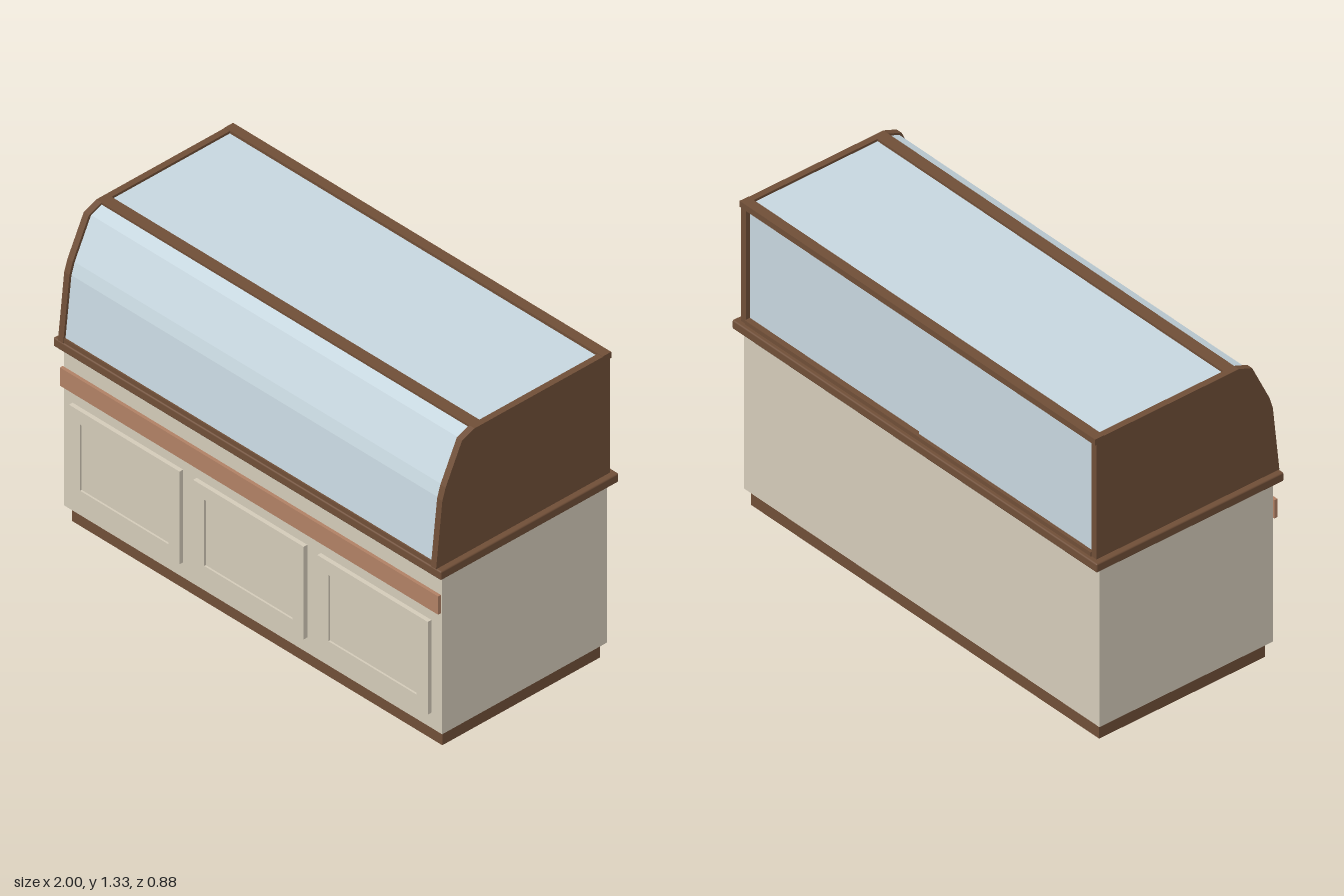
import * as THREE from 'three';
import { RoundedBoxGeometry } from 'three/addons/geometries/RoundedBoxGeometry.js';

const mat = (color, extra = {}) => new THREE.MeshStandardMaterial({ color, ...extra });

export function createModel() {
  const group = new THREE.Group();
  const wood = mat(0x6f4e37);
  const cream = mat(0xd3cab8);
  const copper = mat(0xb08064);
  const glass = mat(0xc6d6de, { side: THREE.DoubleSide });

  const add = (name, geometry, material) => {
    const mesh = new THREE.Mesh(geometry, material);
    mesh.name = name;
    group.add(mesh);
    return mesh;
  };
  // Box given by its limits on each axis
  const box = (name, material, [x0, x1], [y0, y1], [z0, z1]) =>
    add(name, new THREE.BoxGeometry(x1 - x0, y1 - y0, z1 - z0), material)
      .position.set((x0 + x1) / 2, (y0 + y1) / 2, (z0 + z1) / 2);
  // Side profile in (z, y), extruded along x from x0 to x1
  const extrudeAlongX = (name, material, points, x0, x1) => {
    const shape = new THREE.Shape(points.map(([z, y]) => new THREE.Vector2(z, y)));
    const geometry = new THREE.ExtrudeGeometry(shape, { depth: x1 - x0, bevelEnabled: false });
    add(name, geometry.rotateY(-Math.PI / 2), material).position.x = x1;
  };

  // Base cabinet
  box('plinth', wood, [-0.955, 0.955], [0, 0.064], [-0.39, 0.39]);
  box('cabinetBody', cream, [-0.975, 0.975], [0.068, 0.764], [-0.406, 0.41]);
  box('frontBand', copper, [-0.975, 0.975], [0.602, 0.682], [0.416, 0.43]);
  const counter = add('counterTop', new RoundedBoxGeometry(2, 0.038, 0.88, 2, 0.006), wood);
  counter.position.y = 0.787;

  // Three framed front panels with recessed centres
  const rectangle = (Type, w, h) => new Type([
    new THREE.Vector2(-w / 2, -h / 2), new THREE.Vector2(w / 2, -h / 2),
    new THREE.Vector2(w / 2, h / 2), new THREE.Vector2(-w / 2, h / 2),
  ]);
  const frame = rectangle(THREE.Shape, 0.57, 0.406);
  frame.holes.push(rectangle(THREE.Path, 0.456, 0.29));
  const frameGeometry = new THREE.ExtrudeGeometry(frame, { depth: 0.018, bevelEnabled: false });
  for (const x of [-0.64, 0, 0.64]) {
    add('panelFrame', frameGeometry, cream).position.set(x, 0.343, 0.415);
    box('panelCentre', cream, [x - 0.228, x + 0.228], [0.198, 0.488], [0.415, 0.425]);
  }

  // Display case end walls
  const front = [[0.44, 0.806], [0.409, 1.09], [0.393, 1.14], [0.312, 1.306], [0.25, 1.33]];
  const wall = [[-0.42, 0.806], ...front, [-0.42, 1.33]];
  extrudeAlongX('rightEndWall', wood, wall, -0.975, -0.948);
  extrudeAlongX('leftEndWall', wood, wall, 0.948, 0.975);

  // Rails between the end walls
  const span = [-0.948, 0.948];
  box('topFrontRail', wood, span, [1.305, 1.33], [0.2, 0.25]);
  box('topBackRail', wood, [-0.975, 0.975], [1.306, 1.332], [-0.426, -0.384]);
  box('bottomFrontRail', wood, span, [0.806, 0.824], [0.405, 0.435]);
  box('bottomBackRail', wood, span, [0.806, 0.824], [-0.424, -0.384]);

  // Bent front pane, set slightly inside the wall outline
  const inset = (d) => front.map(([z, y]) => [z - d, y - d * 0.5]);
  const outer = inset(0.01);
  const inner = inset(0.018);
  outer[0][1] = inner[0][1] = 0.81;
  extrudeAlongX('frontGlass', glass, [...outer, ...inner.reverse()], ...span);

  // Flat top pane and two sliding back panes
  box('topGlass', glass, span, [1.312, 1.32], [-0.385, 0.2]);
  box('backSlidingGlass', glass, [-0.948, 0.01], [0.82, 1.308], [-0.41, -0.402]);
  box('backSlidingGlass', glass, [-0.01, 0.948], [0.82, 1.308], [-0.4, -0.392]);

  return group;
}
